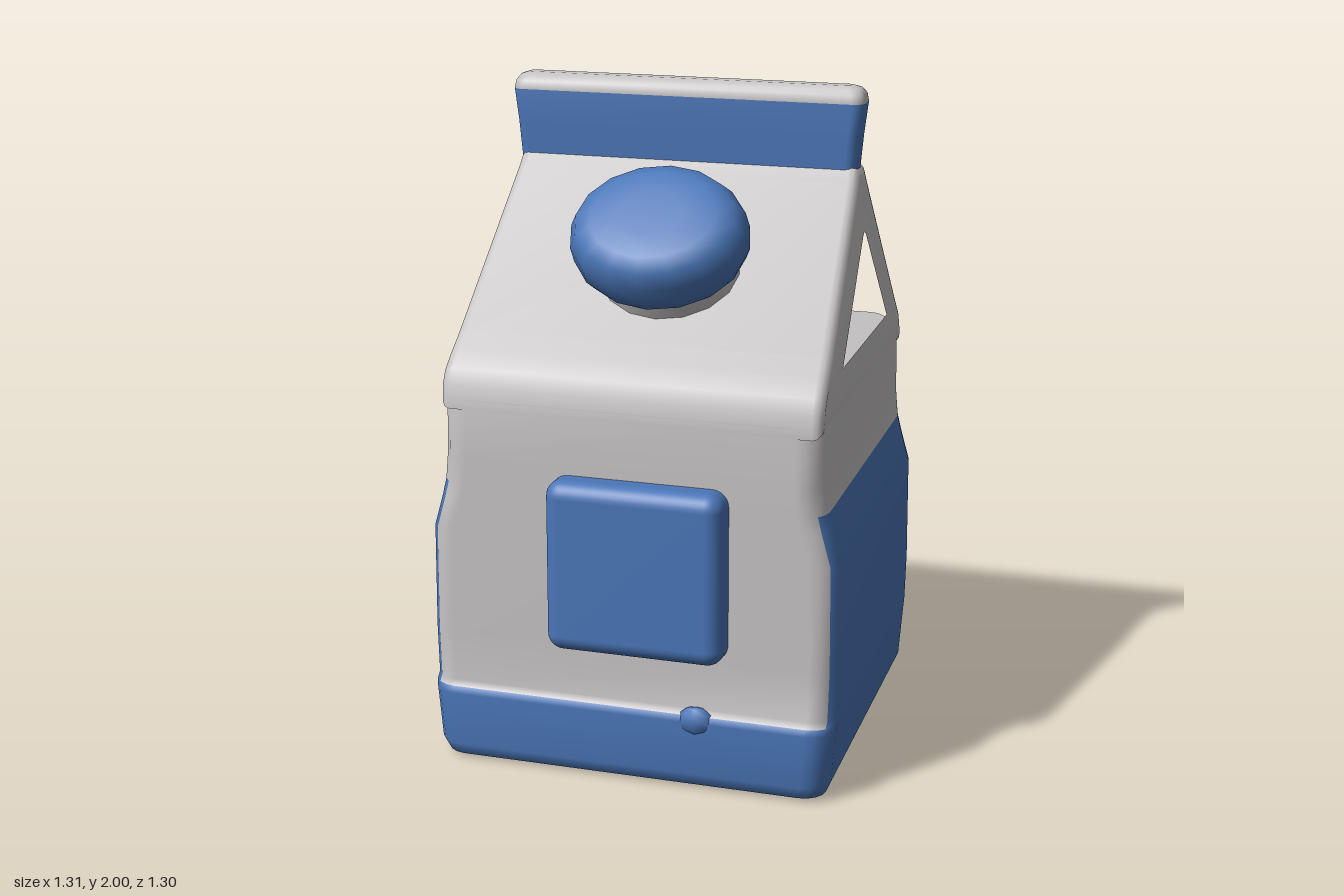
import * as THREE from 'three';
import { toCreasedNormals } from 'three/addons/utils/BufferGeometryUtils.js';
import { RoundedBoxGeometry } from 'three/addons/geometries/RoundedBoxGeometry.js';

const white = new THREE.MeshStandardMaterial({ color: 0xc6c3c4 });
white.name = 'carton white';
const blue = new THREE.MeshStandardMaterial({ color: 0x4a76b8 });
blue.name = 'carton blue';

const SKEW = 0.045; // the carton leans slightly sideways from back to front
const N = 4; // segments per rounded corner

// Closed loft through rounded rectangles [y, halfWidth, zBack, zFront, radius].
// isBlue(y, j) picks the colour of the face j in the band around height y.
function loft(rings, isBlue, xOffset = 0) {
  const pos = [], faces = [[], []], P = 4 * (N + 1);
  for (const [y, hx, zb, zf, r] of rings) {
    for (let k = 0; k < 4; k++) {
      for (let i = 0; i <= N; i++) {
        const a = (k + i / N) * Math.PI / 2;
        const x = (k === 0 || k === 3 ? 1 : -1) * (hx - r) + r * Math.cos(a);
        const z = (k < 2 ? zf - r : zb + r) + r * Math.sin(a);
        pos.push(x + SKEW * z + xOffset, y, z);
      }
    }
  }
  const last = (rings.length - 1) * P;
  const bottom = pos.length / 3, top = bottom + 1;
  for (const [y, , zb, zf] of [rings[0], rings[rings.length - 1]]) {
    pos.push(xOffset, y, (zb + zf) / 2);
  }
  for (let j = 0; j < P; j++) {
    const j2 = (j + 1) % P;
    for (let i = 0; i < rings.length - 1; i++) {
      const a = i * P + j, b = i * P + j2, c = a + P, d = b + P;
      const y = (rings[i][0] + rings[i + 1][0]) / 2;
      faces[isBlue(y, j) ? 1 : 0].push(a, c, b, b, c, d);
    }
    faces[isBlue(rings[0][0], j) ? 1 : 0].push(bottom, j, j2);
    faces[isBlue(rings[rings.length - 1][0], j) ? 1 : 0].push(top, last + j2, last + j);
  }
  const g = new THREE.BufferGeometry();
  g.setAttribute('position', new THREE.Float32BufferAttribute(pos, 3));
  g.setIndex([...faces[0], ...faces[1]]);
  g.addGroup(0, faces[0].length, 0);
  g.addGroup(faces[0].length, faces[1].length, 1);
  g.computeVertexNormals();
  return new THREE.Mesh(g, [white, blue]);
}

// Gable roof: a profile with a triangular opening, extruded across and tapered
function roofGeometry() {
  const v = ([z, y]) => new THREE.Vector2(-z, y);
  const outline = [[0.56, 1.1], [0.555, 1.17], [0.53, 1.215], [0.48, 1.26], [0.42, 1.305],
    [-0.06, 1.72], [-0.1, 1.76], [-0.195, 1.76], [-0.23, 1.71],
    [-0.57, 1.275], [-0.62, 1.215], [-0.645, 1.16], [-0.65, 1.1]];
  const hole = [[0.31, 1.225], [-0.09, 1.575], [-0.13, 1.595], [-0.17, 1.575], [-0.44, 1.225]];
  const shape = new THREE.Shape(outline.map(v));
  shape.holes.push(new THREE.Path(hole.map(v)));
  const bevel = 0.03, half = 0.58;
  const g = new THREE.ExtrudeGeometry(shape, {
    depth: 2 * (half - bevel), steps: 1, bevelEnabled: true, bevelSegments: 3,
    bevelSize: bevel, bevelThickness: bevel, bevelOffset: -bevel,
  });
  g.translate(0, 0, bevel - half).rotateY(Math.PI / 2);
  const p = g.attributes.position;
  for (let i = 0; i < p.count; i++) {
    const up = THREE.MathUtils.clamp((p.getY(i) - 1.2) / 0.55, 0, 1);
    p.setX(i, p.getX(i) * (1 - 0.07 * up) + SKEW * p.getZ(i));
  }
  return toCreasedNormals(g, 0.75);
}

export function createModel() {
  const model = new THREE.Group();
  const add = (name, mesh, parent = model) => {
    mesh.name = name;
    parent.add(mesh);
    return mesh;
  };

  // Body: blue base, sides and back, with a white front panel and shoulders
  add('body', loft([
    [0, 0.56, -0.6, 0.53, 0.05],
    [0.012, 0.595, -0.63, 0.565, 0.07],
    [0.05, 0.612, -0.648, 0.583, 0.08],
    [0.215, 0.625, -0.65, 0.588, 0.08],
    [0.235, 0.627, -0.65, 0.58, 0.08],
    [0.25, 0.628, -0.65, 0.56, 0.08],
    [0.4, 0.632, -0.65, 0.56, 0.08],
    [0.72, 0.63, -0.65, 0.56, 0.08],
    [0.82, 0.602, -0.65, 0.56, 0.08],
    [0.87, 0.59, -0.65, 0.56, 0.08],
    [0.95, 0.583, -0.65, 0.56, 0.08],
    [1.13, 0.58, -0.648, 0.558, 0.08],
    [1.18, 0.57, -0.63, 0.54, 0.08],
    [1.2, 0.54, -0.6, 0.51, 0.06],
  ], (y, j) => y < 0.237 || (y < 0.87 && !(j >= 2 && j <= 6))));

  add('gableRoof', new THREE.Mesh(roofGeometry(), white));

  // Folded core inside the gable
  add('gableCore', loft([
    [1.2, 0.3, -0.29, 0.14, 0.03],
    [1.28, 0.3, -0.3, 0.16, 0.03],
    [1.42, 0.32, -0.34, 0.2, 0.03],
    [1.6, 0.34, -0.2, -0.05, 0.03],
  ], () => false));

  // Sealed top fin: blue with a white upper edge
  add('topFin', loft([
    [1.7, 0.535, -0.195, -0.095, 0.03],
    [1.75, 0.537, -0.198, -0.093, 0.035],
    [1.85, 0.545, -0.205, -0.088, 0.035],
    [1.95, 0.557, -0.21, -0.085, 0.035],
    [1.975, 0.553, -0.205, -0.09, 0.035],
    [1.992, 0.54, -0.19, -0.105, 0.03],
    [2.0, 0.515, -0.168, -0.127, 0.015],
  ], (y) => y < 1.95, -0.007));

  // Raised label on the front panel
  const label = add('frontLabel', new THREE.Mesh(new RoundedBoxGeometry(0.54, 0.52, 0.14, 4, 0.05), blue));
  label.position.set(0.064, 0.67, 0.578);

  // Small nub at the seam of the base
  const nub = add('seamNub', new THREE.Mesh(new THREE.SphereGeometry(0.055, 8, 6), blue));
  nub.scale.set(1, 0.8, 0.5);
  nub.position.set(0.24, 0.218, 0.573);

  // Spout: oval screw cap on a short neck, square to the front roof panel
  const spout = add('spout', new THREE.Group());
  spout.position.set(0.043, 1.53, 0.25);
  spout.rotation.x = 0.693;
  spout.scale.z = 0.85;
  const neck = add('spoutNeck', new THREE.Mesh(new THREE.CylinderGeometry(0.2, 0.225, 0.13, 16), white), spout);
  neck.position.y = -0.045;
  const profile = [[0, 0], [0.21, 0], [0.25, 0.02], [0.268, 0.06], [0.266, 0.12],
    [0.24, 0.17], [0.19, 0.195], [0.1, 0.203], [0, 0.203]];
  add('spoutCap', new THREE.Mesh(
    new THREE.LatheGeometry(profile.map(([r, y]) => new THREE.Vector2(r, y)), 16), blue), spout);

  return model;
}
